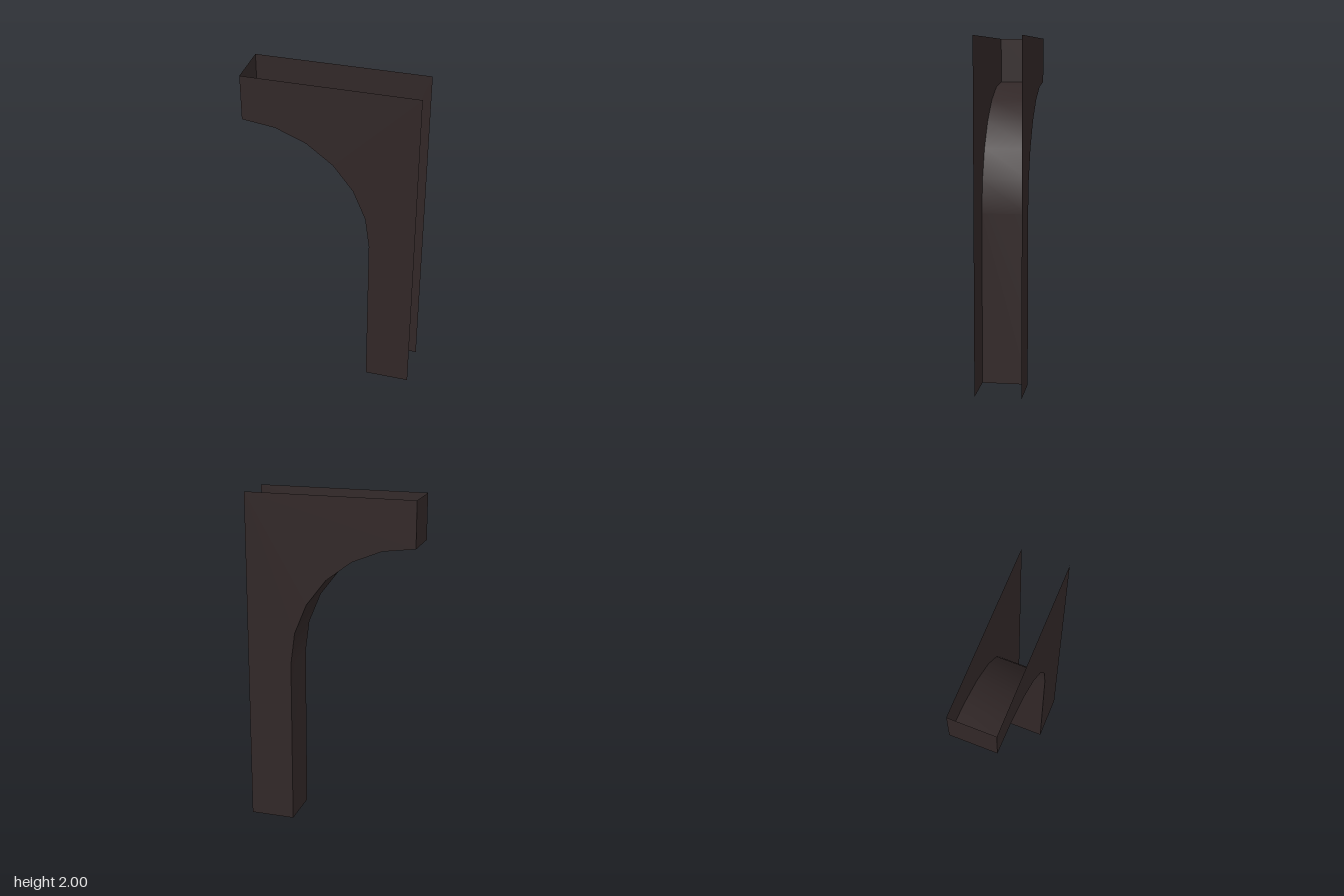
import * as THREE from 'three';

const HALF_DEPTH = 0.133;
const RADIUS = 0.733;
const LEFT = -0.5, RIGHT = 0.5, TOP = 2, ARC_Y = 1;
const STEPS = 6;

const darkWood = new THREE.MeshStandardMaterial({ color: 0x312727, side: THREE.DoubleSide });
darkWood.name = 'dark wood';

// Inner edge of the bracket: quarter arc, then straight down the leg
function innerEdge() {
  const points = [];
  for (let i = 0; i <= STEPS; i++) {
    const a = (i / STEPS) * Math.PI / 2;
    points.push(new THREE.Vector2(LEFT + RADIUS * Math.sin(a), ARC_Y + RADIUS * Math.cos(a)));
  }
  points.push(new THREE.Vector2(LEFT + RADIUS, 0));
  return points;
}

// Sheet spanning the depth along a list of points
function sheet(points) {
  const geometry = new THREE.PlaneGeometry(1, 1, 1, points.length - 1);
  const pos = geometry.attributes.position;
  points.forEach((p, row) => {
    pos.setXYZ(row * 2, p.x, p.y, -HALF_DEPTH);
    pos.setXYZ(row * 2 + 1, p.x, p.y, HALF_DEPTH);
  });
  geometry.computeVertexNormals();
  return geometry;
}

export function createModel() {
  const group = new THREE.Group();
  group.name = 'archBracket';

  const add = (name, geometry, z = 0) => {
    const mesh = new THREE.Mesh(geometry, darkWood);
    mesh.name = name;
    mesh.position.z = z;
    group.add(mesh);
  };

  const edge = innerEdge();

  // Side plates, front and back
  const outline = new THREE.Shape([
    ...edge,
    new THREE.Vector2(RIGHT, 0),
    new THREE.Vector2(RIGHT, TOP),
    new THREE.Vector2(LEFT, TOP),
  ]);
  add('frontPlate', new THREE.ShapeGeometry(outline), HALF_DEPTH);
  const back = new THREE.ShapeGeometry(outline);
  back.index.array.reverse();
  back.computeVertexNormals();
  add('backPlate', back, -HALF_DEPTH);

  // Curved underside and inner leg face; top, bottom and wall side stay open
  add('curvedUnderside', sheet(edge));

  // Cap at the end of the arm
  add('armEnd', sheet([new THREE.Vector2(LEFT, TOP), edge[0]]));

  return group;
}
